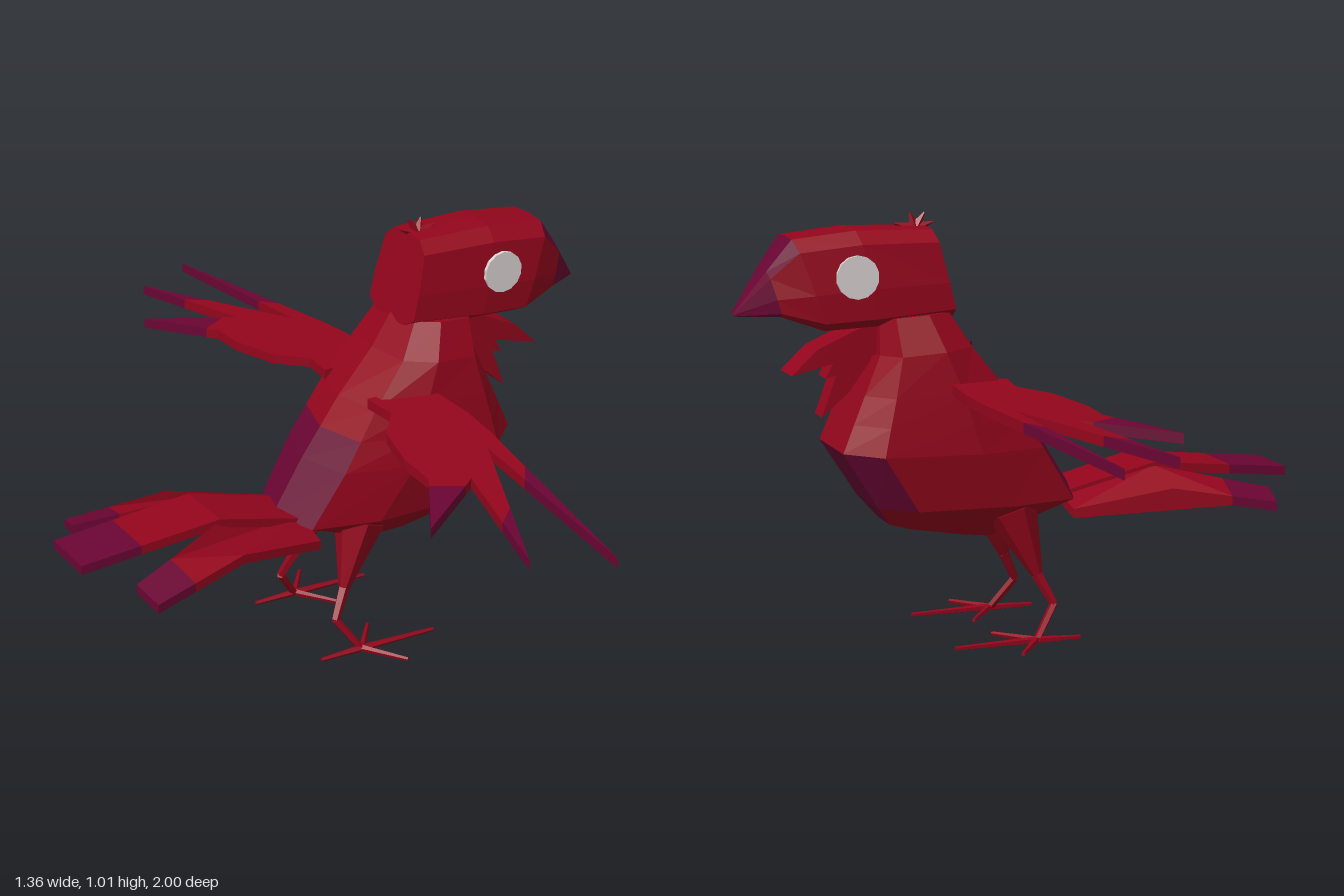
import * as THREE from 'three';

const material = (name, color) => {
  const m = new THREE.MeshStandardMaterial({ color, flatShading: true });
  m.name = name;
  return m;
};

export function createModel() {
  const red = material('crimson', 0x93051c);
  const purple = material('plum', 0x6a0533);
  const white = material('eyeWhite', 0xdcd2d2);
  const bird = new THREE.Group();
  bird.name = 'bird';

  const add = (name, geometry, mat) => {
    const mesh = new THREE.Mesh(geometry, mat);
    mesh.name = name;
    bird.add(mesh);
    return mesh;
  };

  // Mirrored ring running from p to q in the x-y plane, with half width w
  const ring = ([px, py, qx, qy, w], profile) => {
    const half = profile.map(([t, f]) => [px + (qx - px) * t, py + (qy - py) * t, w * f]);
    const other = half.slice(1, -1).reverse().map(([x, y, z]) => [x, y, -z]);
    return [...half, ...other];
  };

  // Faceted skin over rings; isPurple(band, segment) picks the second colour
  const loft = (name, rows, profile, isPurple) => {
    const rings = rows.map((r) => ring(r, profile));
    const n = rings[0].length;
    const tris = [[], []];
    for (let b = 0; b < rings.length - 1; b++) {
      for (let i = 0; i < n; i++) {
        const j = (i + 1) % n;
        const [a, c, d, e] = [rings[b][i], rings[b][j], rings[b + 1][j], rings[b + 1][i]];
        tris[isPurple(b, Math.min(i, n - 1 - i)) ? 1 : 0].push(a, c, d, a, d, e);
      }
    }
    const first = rings[0], last = rings[rings.length - 1];
    for (let i = 1; i < n - 1; i++) {
      tris[0].push(first[0], first[i + 1], first[i]);
      tris[0].push(last[0], last[i], last[i + 1]);
    }
    const g = new THREE.BufferGeometry();
    g.setAttribute('position', new THREE.Float32BufferAttribute([...tris[0], ...tris[1]].flat(), 3));
    g.addGroup(0, tris[0].length, 0);
    g.addGroup(tris[0].length, tris[1].length, 1);
    g.computeVertexNormals();
    return add(name, g, [red, purple]);
  };

  // Body: rings from belly to neck, each [back x, y, front x, y, half width]
  const bodyProfile = [[0, 0], [0.08, 0.75], [0.4, 1], [0.85, 0.97], [1, 0.55], [1, 0]];
  loft('body', [
    [0.06, 0.24, 0.32, 0.285, 0.08],
    [-0.15, 0.33, 0.36, 0.335, 0.162],
    [-0.07, 0.46, 0.445, 0.47, 0.18],
    [-0.02, 0.53, 0.418, 0.535, 0.173],
    [0.03, 0.6, 0.39, 0.6, 0.165],
    [0.12, 0.705, 0.35, 0.69, 0.15],
    [0.172, 0.785, 0.345, 0.775, 0.112],
  ], bodyProfile, (band, s) => (band === 0 && s === 4)
    || (band === 1 && (s === 0 || s >= 3)) || (band === 2 && s === 0));

  // Head and beak: rings from nape to beak tip, each [top x, y, bottom x, y, half width]
  const headProfile = [[0, 0], [0.02, 0.55], [0.15, 0.88], [0.6, 1], [0.9, 1], [1, 0.6], [1, 0]];
  loft('headAndBeak', [
    [0.215, 0.975, 0.168, 0.77, 0.1],
    [0.4, 0.98, 0.355, 0.755, 0.11],
    [0.55, 0.965, 0.475, 0.75, 0.106],
    [0.605, 0.89, 0.575, 0.785, 0.075],
    [0.675, 0.79, 0.665, 0.785, 0.015],
  ], headProfile, (band, s) => band === 3 || (band === 2 && s < 2));

  // Plate cut from a 2D outline
  const extrude = (points, depth) => new THREE.ExtrudeGeometry(
    new THREE.Shape(points.map(([x, y]) => new THREE.Vector2(x, y))),
    { depth, bevelEnabled: false });

  // Level plate with an x-z outline, raised to a height rule
  const plate = (name, points, thickness, height, mat) => {
    const g = extrude(points, thickness).rotateX(Math.PI / 2);
    const p = g.attributes.position;
    for (let i = 0; i < p.count; i++) p.setY(i, p.getY(i) + height(p.getX(i), p.getZ(i)));
    g.computeVertexNormals();
    return add(name, g, mat);
  };
  const mix = (a, b, f) => [a[0] + (b[0] - a[0]) * f, a[1] + (b[1] - a[1]) * f];

  // Tapered limb between two points
  const limb = (name, a, b, ra, rb, sides, mat) => {
    const from = new THREE.Vector3(...a), to = new THREE.Vector3(...b);
    const dir = to.clone().sub(from);
    const mesh = add(name, new THREE.CylinderGeometry(rb, ra, dir.length(), sides), mat);
    mesh.position.copy(from).add(to).multiplyScalar(0.5);
    mesh.quaternion.setFromUnitVectors(new THREE.Vector3(0, 1, 0), dir.normalize());
    return mesh;
  };

  const tailTop = (x) => x > -0.33
    ? 0.335 + (-0.1 - x) * 0.25
    : 0.392 + (x + 0.33) * 0.1;

  for (const s of [1, -1]) {
    const side = s > 0 ? 'right' : 'left';
    const flip = (pts) => pts.map(([x, z]) => [x, z * s]);

    // Wing with three pointed feathers, [base, tip, base, share of red]
    const wingY = (x, z) => 0.622 - 0.045 * (Math.abs(z) - 0.17) + 0.05 * (x - 0.1);
    const feathers = [
      [[0.205, 0.38], [0.125, 1], [0.157, 0.45], 0.3],
      [[0.157, 0.45], [-0.035, 0.91], [0.05, 0.55], 0.55],
      [[0.05, 0.55], [-0.14, 0.69], [-0.03, 0.5], 0.15],
    ];
    const wing = [[0.05, 0.1], [0.2, 0.1], [0.212, 0.28]];
    for (const [a, tip, b, f] of feathers) {
      const a2 = mix(a, tip, f), b2 = mix(b, tip, f);
      wing.push(a, a2, b2);
      plate(side + 'WingTip', flip([a2, tip, b2]), 0.024, wingY, purple);
    }
    wing.push([-0.03, 0.5], [-0.03, 0.4], [0, 0.27], [0.06, 0.19]);
    plate(side + 'Wing', flip(wing), 0.024, wingY, red);

    // Outer tail feather
    const outerY = (x, z) => tailTop(x) - 0.28 * Math.max(0, Math.abs(z) - 0.06);
    plate(side + 'TailFeather', flip([[-0.1, 0.04], [-0.1, 0.145], [-0.33, 0.196],
      [-0.47, 0.227], [-0.485, 0.134], [-0.33, 0.075]]), 0.022, outerY, red);
    plate(side + 'TailFeatherTip', flip([[-0.47, 0.227], [-0.575, 0.25], [-0.59, 0.172],
      [-0.485, 0.134]]), 0.022, outerY, purple);

    // Eye disc
    const eye = add(side + 'Eye', new THREE.CylinderGeometry(0.05, 0.05, 0.009, 14), white);
    eye.rotation.x = Math.PI / 2;
    eye.position.set(0.41, 0.875, s * 0.111);

    // Leg
    const knee = [-0.02, 0.155, s * 0.115];
    const ankle = [-0.055, 0.085, s * 0.135];
    const foot = [0, 0.007, s * 0.165];
    limb(side + 'Thigh', [0.035, 0.31, s * 0.09], knee, 0.062, 0.014, 6, red);
    limb(side + 'UpperShin', knee, ankle, 0.014, 0.01, 5, red);
    limb(side + 'LowerShin', ankle, foot, 0.01, 0.009, 5, red);

    // Toes
    for (const [x, z] of [[0.2, 0], [0.07, 0.1], [0.075, -0.1], [-0.11, 0]]) {
      const toe = limb(side + 'Toe', foot, [x, 0.005, s * (0.165 + z)], 0.009, 0.005, 5, red);
      toe.position.y = 0.008;
    }
  }

  // Centre tail feather
  const centreY = (x) => tailTop(x) + 0.003;
  plate('tailFeather', [[-0.1, -0.07], [-0.1, 0.07], [-0.33, 0.08], [-0.33, -0.08]], 0.022, centreY, red);
  plate('tailFeatherEnd', [[-0.33, -0.08], [-0.33, 0.08], [-0.53, 0.077], [-0.53, -0.077]], 0.022, centreY, red);
  plate('tailFeatherTip', [[-0.53, -0.077], [-0.53, 0.077], [-0.68, 0.075], [-0.68, -0.075]], 0.022, centreY, purple);

  // Throat feathers
  const upright = (name, points, depth) =>
    add(name, extrude(points, depth).translate(0, 0, -depth / 2), red);
  upright('upperThroatFeather', [[0.33, 0.77], [0.4, 0.745], [0.49, 0.705], [0.55, 0.648],
    [0.45, 0.672], [0.33, 0.69]], 0.1);
  upright('lowerThroatFeather', [[0.33, 0.74], [0.44, 0.68], [0.465, 0.635], [0.44, 0.64],
    [0.475, 0.545], [0.41, 0.6], [0.35, 0.68]], 0.06);

  // Crest tuft
  for (const [x, y] of [[0.195, 0.982], [0.215, 1.005], [0.25, 1.005], [0.29, 0.982]]) {
    limb('crestFeather', [0.24, 0.968, 0], [x, y, 0], 0.014, 0.002, 4, red);
  }
  return bird;
}
